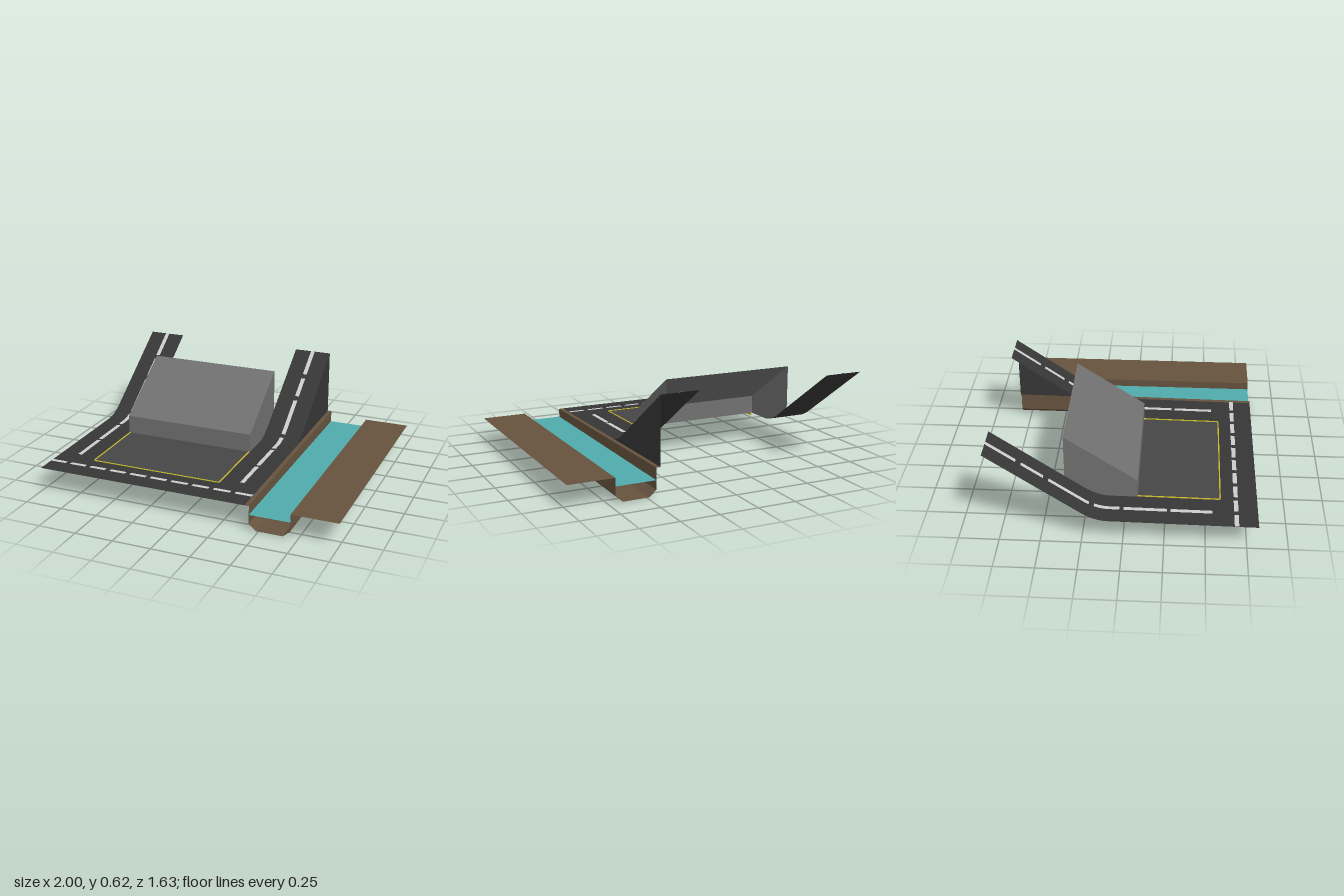
import * as THREE from 'three';
import { toCreasedNormals } from 'three/addons/utils/BufferGeometryUtils.js';

const BACK = -0.815, FRONT = 0.815;
const mat = (color) => new THREE.MeshStandardMaterial({ color, side: THREE.DoubleSide });

// Gently rising ground, and the road that curves up into a ramp towards the back
const groundY = (z) => 0.158 + 0.012 * (FRONT - z);
function roadY(z) {
  const t = Math.max(0, -0.09 - z);
  return groundY(z) + 0.68 * (t < 0.16 ? (t * t) / 0.32 : t - 0.08);
}

// Z positions between two ends, with extra steps in the bend of the ramp
function stations(z0, z1) {
  const bend = [];
  for (let i = 0; i <= 8; i++) bend.push(-0.09 - 0.02 * i);
  return [z1, ...bend.filter((z) => z < z1 - 1e-4 && z > z0 + 1e-4), z0];
}

// Surface skinned over rows of [x, y, z] points
function loft(rows) {
  const n = rows[0].length, index = [];
  for (let i = 0; i < rows.length - 1; i++)
    for (let j = 0; j < n - 1; j++) {
      const a = i * n + j, b = a + n;
      index.push(a, a + 1, b, b, a + 1, b + 1);
    }
  const g = new THREE.BufferGeometry();
  g.setAttribute('position', new THREE.Float32BufferAttribute(rows.flat(2), 3));
  g.setIndex(index);
  return toCreasedNormals(g, 0.4);
}

// Strip lying on the road
const strip = (x0, x1, z0, z1, lift = 0) =>
  loft(stations(z0, z1).map((z) => [[x0, roadY(z) + lift, z], [x1, roadY(z) + lift, z]]));

export function createModel() {
  const model = new THREE.Group();
  const add = (name, geometry, material, parent = model) => {
    const mesh = new THREE.Mesh(geometry, material);
    mesh.name = name;
    parent.add(mesh);
    return mesh;
  };
  const asphalt = mat(0x363636), paint = mat(0xc4c4c4), concrete = mat(0x707070);
  const paving = mat(0x464646), earth = mat(0x66533f), water = mat(0x4fabab), yellow = mat(0xc9b92a);

  // Roads: front street and two lanes climbing to the back
  add('frontRoad', strip(-1, 0.41, 0.59, FRONT), asphalt);
  add('rightRampRoad', strip(-1, -0.745, BACK, 0.59), asphalt);
  add('leftRampRoad', strip(0.155, 0.41, BACK, 0.59), asphalt);

  // Dashed lane markings
  const markings = new THREE.Group();
  markings.name = 'laneMarkings';
  model.add(markings);
  const dashes = [[BACK, -0.64], [-0.61, -0.48], [-0.45, -0.21], [-0.18, -0.025], [0, 0.265], [0.285, 0.54]];
  for (const x of [-0.872, 0.284])
    for (const [z0, z1] of dashes) add('laneDash', strip(x - 0.014, x + 0.014, z0, z1, 0.003), paint, markings);
  for (let i = 0; i < 10; i++) {
    const x = -1 + i * 0.1442;
    add('streetDash', strip(x, x + 0.112, 0.67, 0.697, 0.003), paint, markings);
  }

  // Wall closing the canal side of the ramp
  add('rampWall', loft(stations(BACK, -0.09).map((z) => [[0.41, roadY(z), z], [0.41, groundY(z), z]])), asphalt);

  // Paved court with a raised yellow border on three sides
  add('court', strip(-0.745, 0.155, 0.08, 0.59), paving);
  const x0 = -0.742, x1 = 0.152, w = 0.008, r = 0.018, zf = 0.592, zb = 0.08;
  const edge = new THREE.Shape();
  edge.moveTo(x0, -zb);
  edge.lineTo(x0, -zf + r);
  edge.quadraticCurveTo(x0, -zf, x0 + r, -zf);
  edge.lineTo(x1 - r, -zf);
  edge.quadraticCurveTo(x1, -zf, x1, -zf + r);
  edge.lineTo(x1, -zb);
  edge.lineTo(x1 - w, -zb);
  edge.lineTo(x1 - w, -zf + r);
  edge.quadraticCurveTo(x1 - w, -zf + w, x1 - r, -zf + w);
  edge.lineTo(x0 + r, -zf + w);
  edge.quadraticCurveTo(x0 + w, -zf + w, x0 + w, -zf + r);
  edge.lineTo(x0 + w, -zb);
  const border = new THREE.ExtrudeGeometry(edge, { depth: 0.02, bevelEnabled: false, curveSegments: 4 });
  border.rotateX(-Math.PI / 2);
  const p = border.attributes.position;
  for (let i = 0; i < p.count; i++) p.setY(i, p.getY(i) + groundY(p.getZ(i)) - 0.016);
  border.computeVertexNormals();
  add('courtBorder', border, yellow);

  // Building shell with a sloping roof, open at the back and standing on the ramps
  const building = new THREE.Group();
  building.name = 'building';
  model.add(building);
  const bx0 = -0.745, bx1 = 0.155, bz0 = -0.37, bz1 = 0.08;
  const roofY = (z) => 0.29 + ((bz1 - z) / (bz1 - bz0)) * 0.3;
  add('frontWall', loft([[[bx0, roofY(bz1), bz1], [bx1, roofY(bz1), bz1]],
    [[bx0, roadY(bz1), bz1], [bx1, roadY(bz1), bz1]]].reverse()), concrete, building);
  add('roof', loft([bz1, bz0].map((z) => [[bx0, roofY(z), z], [bx1, roofY(z), z]])), concrete, building);
  for (const x of [bx0, bx1]) {
    const rows = stations(bz0, bz1).map((z) => [[x, roofY(z), z], [x, roadY(z), z]]);
    add('sideWall', loft(x < 0 ? rows.map((row) => row.reverse()) : rows), concrete, building);
  }

  // Canal: open channel with a sloping kerb and a flat bank
  const section = (z) => [[0.41, groundY(z)], [0.438, groundY(z)], [0.438, 0.04], [0.485, 0], [0.655, 0],
    [0.7, 0.04], [0.7, 0.152], [1, 0.152]].map(([x, y]) => [x, y, z]);
  add('canalChannel', loft([section(FRONT), section(BACK)]), earth);
  add('canalWater', loft([FRONT, BACK].map((z) => [[0.438, 0.1, z], [0.7, 0.1, z]])), water);

  return model;
}
